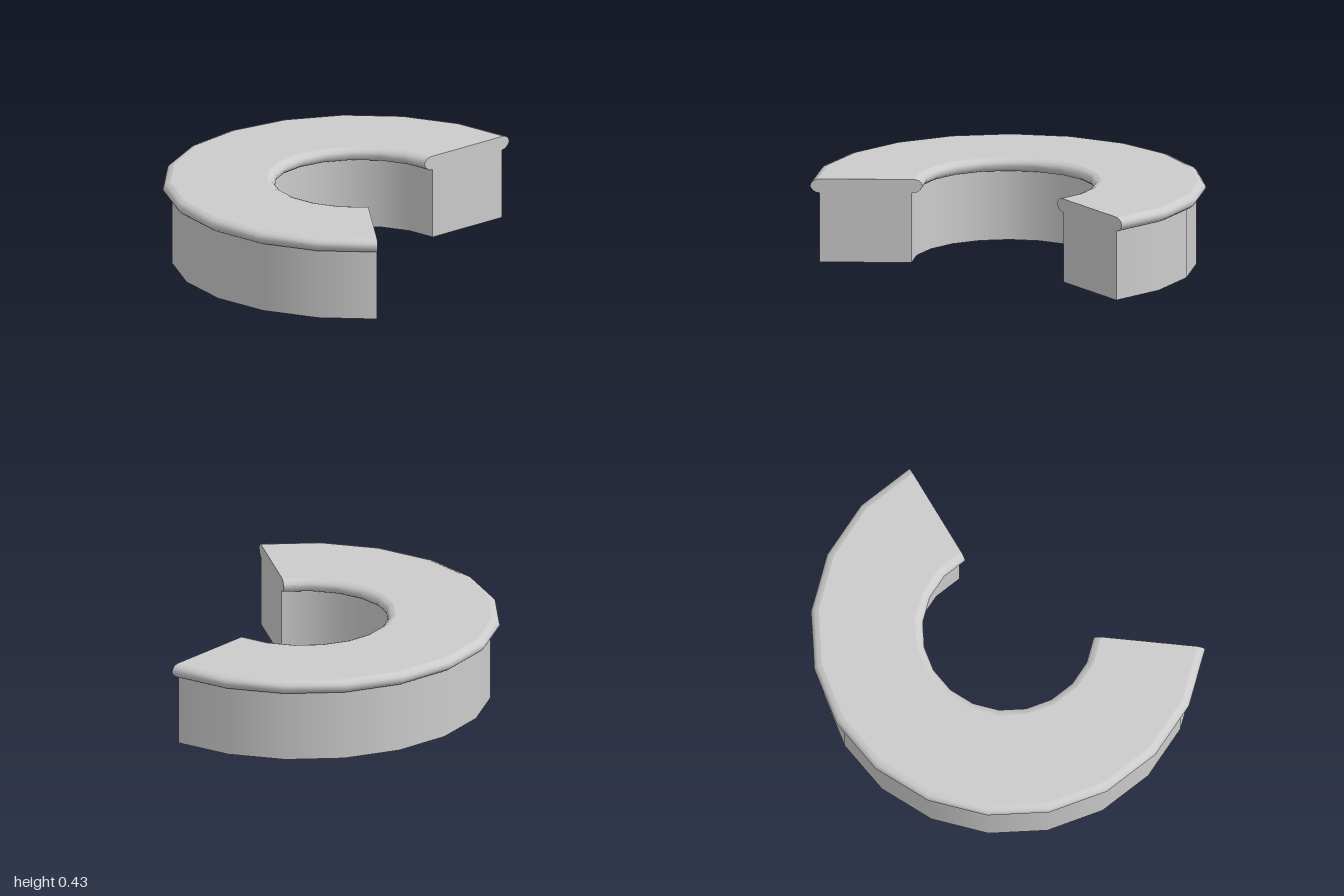
import * as THREE from 'three';

const START = THREE.MathUtils.degToRad(126);
const SWEEP = THREE.MathUtils.degToRad(234);
const SEGMENTS = 13;

// Profile pieces as [radius, height], counter-clockwise around the section
const bottom = [[0.487, 0], [0.952, 0]];
const outerWall = [[0.952, 0], [0.952, 0.36]];
const outerLip = [[0.952, 0.36], [0.972, 0.364], [0.989, 0.377], [1, 0.395], [0.995, 0.412], [0.982, 0.425], [0.96, 0.432]];
const top = [[0.96, 0.432], [0.472, 0.432]];
const innerLip = [[0.472, 0.432], [0.45, 0.425], [0.437, 0.412], [0.432, 0.395], [0.443, 0.377], [0.462, 0.364], [0.487, 0.36]];
const innerWall = [[0.487, 0.36], [0.487, 0]];

const toPoints = (list) => list.map(([r, y]) => new THREE.Vector2(r, y));

export function createModel() {
  const group = new THREE.Group();
  group.name = 'openRing';
  const material = new THREE.MeshStandardMaterial({ color: 0xcccccc });
  const capMaterial = new THREE.MeshStandardMaterial({ color: 0xcccccc, side: THREE.DoubleSide });

  const add = (name, geometry, mat = material) => {
    const mesh = new THREE.Mesh(geometry, mat);
    mesh.name = name;
    mesh.position.x = 0.095;
    group.add(mesh);
    return mesh;
  };

  // Each piece is swept separately so the edges between them stay sharp
  const pieces = { bottom, outerWall, outerLip, top, innerLip, innerWall };
  for (const [name, list] of Object.entries(pieces)) {
    add(name, new THREE.LatheGeometry(toPoints(list), SEGMENTS, START, SWEEP));
  }

  // Flat cut faces closing both ends
  const section = new THREE.Shape(toPoints([...outerWall, ...outerLip.slice(1), ...innerLip, innerWall[1]]));
  for (const [name, angle] of [['backCutFace', START], ['frontCutFace', START + SWEEP]]) {
    add(name, new THREE.ShapeGeometry(section), capMaterial).rotation.y = angle - Math.PI / 2;
  }
  return group;
}
